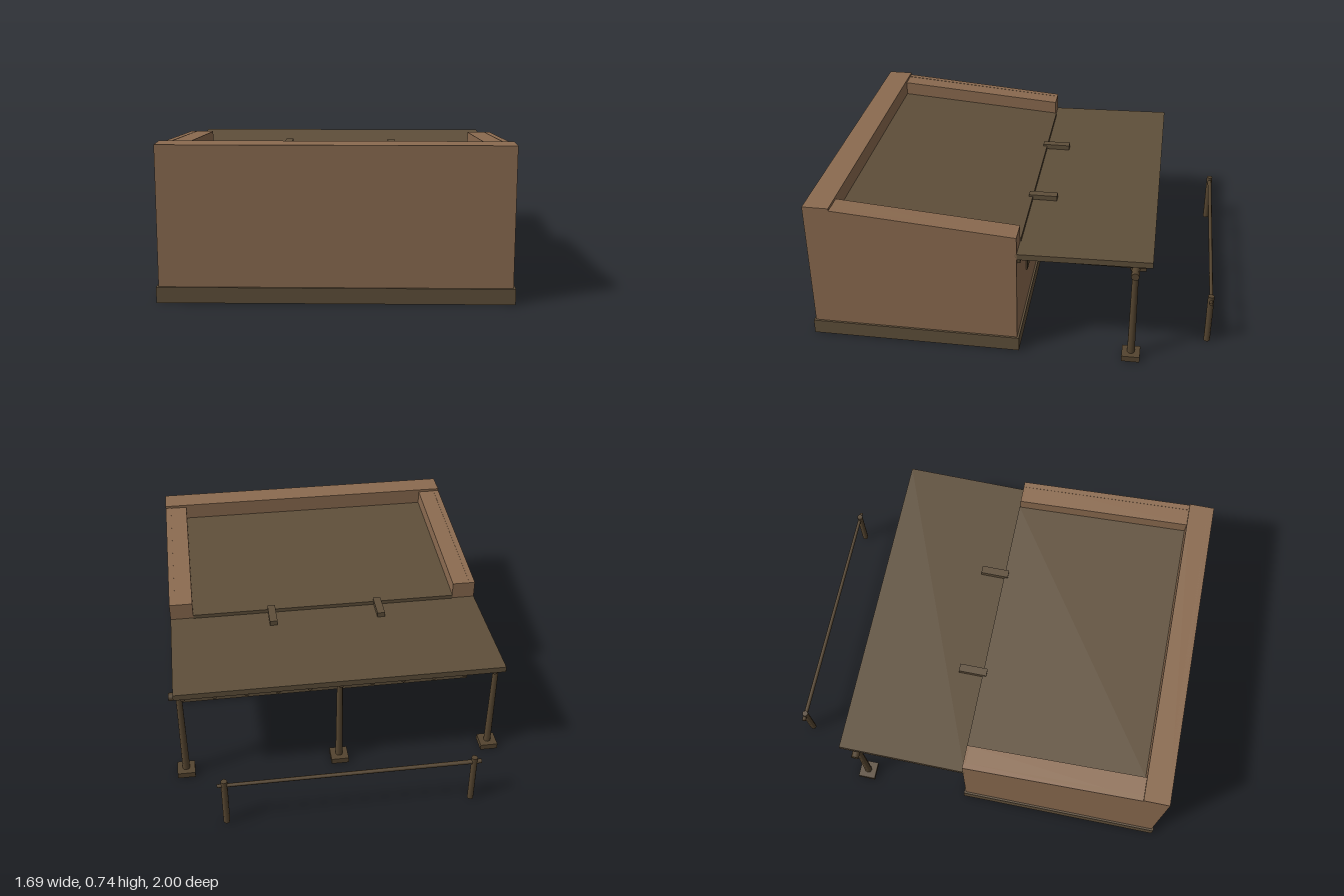
import * as THREE from 'three';

const mat = (name, color, side = THREE.FrontSide) => {
  const m = new THREE.MeshStandardMaterial({ color, side });
  m.name = name;
  return m;
};

export function createModel() {
  const model = new THREE.Group();
  model.name = 'adobeHouse';
  const adobe = mat('adobe', 0x8b6b50, THREE.DoubleSide);
  const earth = mat('packedEarth', 0x5f4f3a, THREE.DoubleSide);
  const wood = mat('weatheredWood', 0x54442f);
  const darkWood = mat('darkWood', 0x46392a);

  const add = (name, geo, material, parent = model) => {
    const mesh = new THREE.Mesh(geo, material);
    mesh.name = name;
    parent.add(mesh);
    return mesh;
  };
  // box given by its minimum and maximum corners
  const box = (name, a, b, material, parent) =>
    add(name, new THREE.BoxGeometry(b[0] - a[0], b[1] - a[1], b[2] - a[2])
      .translate((a[0] + b[0]) / 2, (a[1] + b[1]) / 2, (a[2] + b[2]) / 2), material, parent);
  const poly = (pts) => new THREE.Shape(pts.map((p) => new THREE.Vector2(...p)));
  const rect = (x0, y0, x1, y1) => poly([[x0, y0], [x1, y0], [x1, y1], [x0, y1]]);
  const extrude = (shape, depth) => new THREE.ExtrudeGeometry(shape, { depth, bevelEnabled: false });
  // prism from a (z, y) profile, running from x0 to x1
  const sidePrism = (name, pts, x0, x1, material) =>
    add(name, extrude(poly(pts), x1 - x0).rotateY(-Math.PI / 2).translate(x1, 0, 0), material);
  // round pole between two points
  const pole = (name, a, b, r0, r1, material, parent) => {
    const p = new THREE.Vector3(...a), q = new THREE.Vector3(...b);
    const d = q.clone().sub(p);
    const geo = new THREE.CylinderGeometry(r1, r0, d.length(), 8);
    const mesh = add(name, geo, material, parent);
    mesh.position.copy(p).add(q).multiplyScalar(0.5);
    mesh.quaternion.setFromUnitVectors(new THREE.Vector3(0, 1, 0), d.normalize());
    return mesh;
  };

  // foundation ring
  const ring = rect(-0.83, -1, 0.83, 0.055);
  ring.holes.push(rect(-0.79, -0.96, 0.79, 0.015));
  add('foundation', extrude(ring, 0.075).rotateX(-Math.PI / 2), earth);

  // plain front wall and its thick parapet
  box('frontWall', [-0.82, 0.01, 0.96], [0.82, 0.74, 0.99], adobe);
  box('frontParapet', [-0.82, 0.56, 0.86], [0.82, 0.74, 0.985], adobe);

  // side walls with sloping parapets
  for (const s of [-1, 1]) {
    const span = (a, b) => (s > 0 ? [a, b] : [-b, -a]);
    sidePrism('sideWall', [[-0.045, 0.01], [0.97, 0.01], [0.97, 0.72], [0.86, 0.728], [-0.045, 0.655]],
      ...span(0.79, 0.82), adobe);
    sidePrism('sideParapet', [[-0.044, 0.54], [0.87, 0.54], [0.87, 0.727], [-0.044, 0.654]],
      ...span(0.7, 0.815), adobe);
  }

  // porch wall, notched for the roof edge and pierced by door and window
  const door = [-0.57, 0.05, -0.36, 0.46];
  const win = [0.2, 0.27, 0.38, 0.47];
  const back = poly([[-0.82, 0.01], [0.82, 0.01], [0.82, 0.655], [0.7, 0.655], [0.7, 0.57],
    [-0.7, 0.57], [-0.7, 0.655], [-0.82, 0.655]]);
  back.holes.push(rect(...door), rect(...win));
  add('porchWall', extrude(back, 0.03).translate(0, 0, -0.045), adobe);

  // deep reveals round the openings, closed by a dark panel
  const recess = (name, [x0, y0, x1, y1]) => {
    const frame = rect(x0 - 0.01, y0 - 0.01, x1 + 0.01, y1 + 0.01);
    frame.holes.push(rect(x0, y0, x1, y1));
    add(name + 'Reveal', extrude(frame, 0.12).translate(0, 0, -0.044), adobe);
    box(name + 'Panel', [x0, y0, 0.05], [x1, y1, 0.07], darkWood);
    box(name + 'Lintel', [x0 - 0.04, y1, -0.05], [x1 + 0.04, y1 + 0.025, -0.02], wood);
  };
  recess('door', door);
  recess('window', win);
  for (let i = 1; i < 4; i++) {
    const x = door[0] + (i * 0.21) / 4;
    box('doorBatten', [x - 0.004, door[1], 0.044], [x + 0.004, door[3], 0.052], wood);
  }
  for (let i = 1; i < 5; i++) {
    const x = win[0] + (i * 0.18) / 5;
    pole('windowBar', [x, win[1], -0.035], [x, win[3], -0.035], 0.006, 0.006, wood);
  }
  box('windowSill', [0.18, 0.258, -0.055], [0.4, 0.27, -0.02], wood);
  box('leftShutter', [0.39, 0.27, -0.052], [0.51, 0.465, -0.044], wood);
  box('rightShutter', [0.09, 0.27, -0.052], [0.19, 0.465, -0.044], wood);

  // earth roof sloping to the porch side, and two drain spouts
  sidePrism('mainRoof', [[-0.05, 0.565], [0.87, 0.635], [0.87, 0.655], [-0.05, 0.585]], -0.7, 0.7, earth);
  for (const x of [-0.285, 0.285])
    box('drainSpout', [x - 0.02, 0.57, -0.175], [x + 0.02, 0.596, -0.03], earth);

  // porch roof slab on rafters
  sidePrism('porchRoof', [[-0.69, 0.547], [-0.035, 0.535], [-0.035, 0.565], [-0.69, 0.577]], -0.82, 0.82, earth);
  for (let i = 0; i < 11; i++) {
    const x = -0.775 + i * 0.155;
    pole('rafter', [x, 0.524, -0.02], [x, 0.526, -0.662], 0.013, 0.013, wood);
  }
  for (const z of [-0.2, -0.4])
    box('roofBatten', [-0.81, 0.532, z - 0.012], [0.81, 0.546, z + 0.012], wood);
  box('ledgerBoard', [-0.8, 0.505, -0.06], [0.8, 0.535, -0.04], wood);

  // porch beam, posts and footings
  pole('porchBeam', [-0.845, 0.507, -0.61], [0.845, 0.507, -0.61], 0.02, 0.02, wood);
  for (const x of [-0.795, 0, 0.795]) {
    const post = new THREE.Group();
    post.name = 'porchPost';
    model.add(post);
    box('footing', [x - 0.045, 0, -0.655], [x + 0.045, 0.03, -0.565], wood, post);
    pole('shaft', [x, 0.02, -0.61], [x, 0.5, -0.61], 0.019, 0.015, wood, post);
  }

  // hitching rail
  const rail = new THREE.Group();
  rail.name = 'hitchingRail';
  model.add(rail);
  for (const x of [-0.61, 0.61])
    pole('railPost', [x, 0, -0.984], [x, 0.27, -0.984], 0.016, 0.016, wood, rail);
  pole('railBar', [-0.645, 0.245, -0.986], [0.645, 0.245, -0.986], 0.011, 0.009, wood, rail);

  return model;
}
